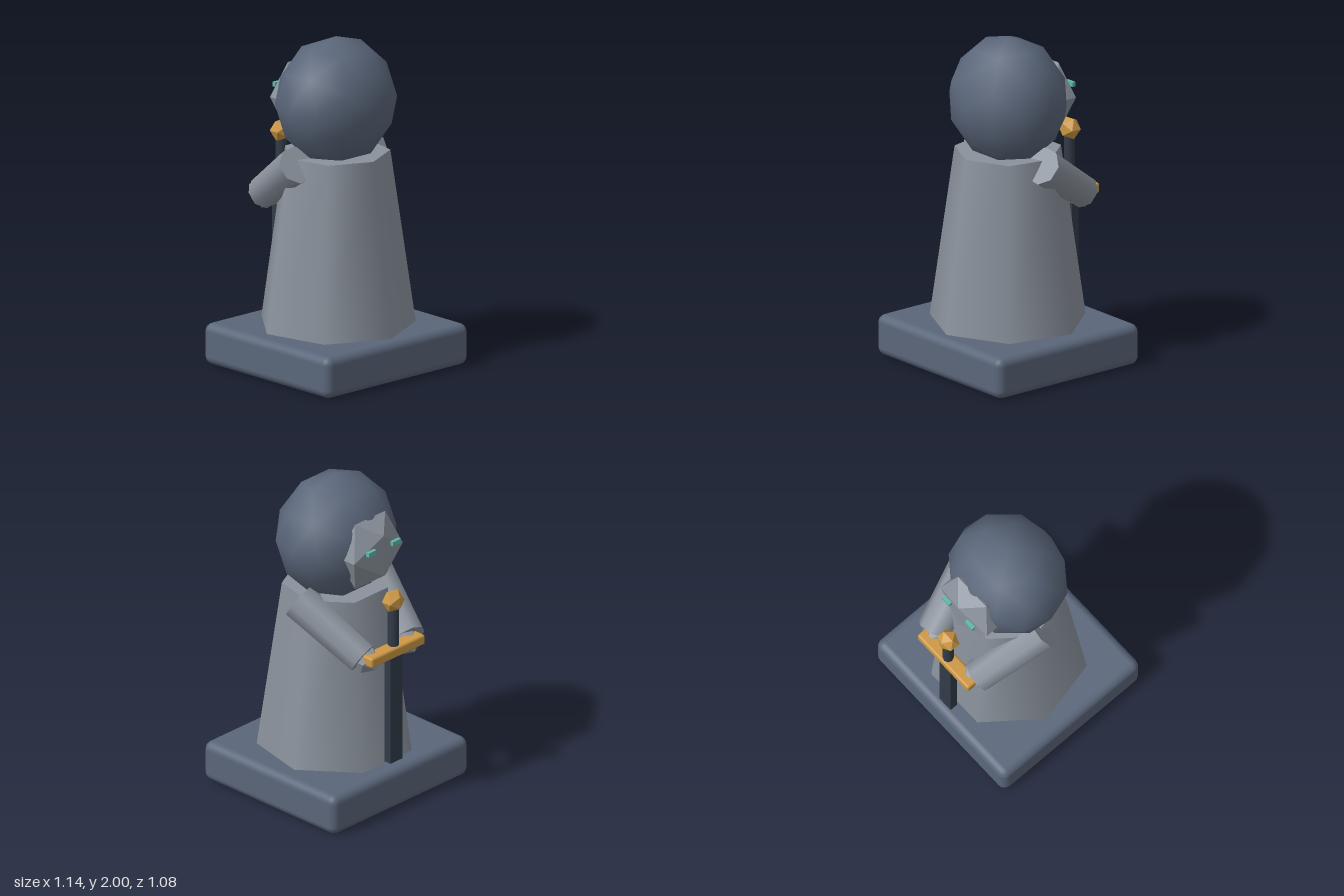
import * as THREE from 'three';
import { RoundedBoxGeometry } from 'three/addons/geometries/RoundedBoxGeometry.js';

const mat = (color, flatShading = false) => {
  const m = new THREE.MeshStandardMaterial({ flatShading });
  m.color.set(color);
  return m;
};

export function createModel() {
  const model = new THREE.Group();
  model.name = 'guardianStatue';

  const slate = mat(0x5a667a);
  const stone = mat(0x8a929c);
  const stoneFlat = mat(0x8a929c, true);
  const iron = mat(0x323c48);
  const gold = mat(0xcc9844);
  const goldFlat = mat(0xcc9844, true);
  const jade = mat(0x5fb8a6);

  const add = (name, geometry, material, x, y, z) => {
    const mesh = new THREE.Mesh(geometry, material);
    mesh.name = name;
    mesh.position.set(x, y, z);
    model.add(mesh);
    return mesh;
  };

  // Plinth
  add('plinth', new RoundedBoxGeometry(1.14, 0.25, 1.08, 3, 0.05), slate, 0, 0.125, 0);

  // Seven-sided robe, narrowing upward
  add('robe', new THREE.CylinderGeometry(0.32, 0.47, 1.06, 7), stone, 0, 0.77, 0);

  // Hood and faceted face mask
  add('hood', new THREE.IcosahedronGeometry(1, 1), slate, 0, 1.61, 0).scale.set(0.38, 0.39, 0.34);
  add('face', new THREE.IcosahedronGeometry(1, 0), stoneFlat, 0, 1.595, -0.28).scale.set(0.24, 0.25, 0.13);

  // Eyes, arms and hands, mirrored
  const up = new THREE.Vector3(0, 1, 0);
  for (const [side, s] of [['left', 1], ['right', -1]]) {
    add(side + 'Eye', new THREE.BoxGeometry(0.065, 0.028, 0.022), jade, s * 0.102, 1.65, -0.39);

    const shoulder = new THREE.Vector3(s * 0.31, 1.275, 0);
    const wrist = new THREE.Vector3(s * 0.195, 1.0, -0.41);
    const dir = shoulder.clone().sub(wrist);
    const sleeve = new THREE.CylinderGeometry(0.115, 0.1, dir.length(), 8);
    sleeve.rotateY(Math.PI / 8);
    const mid = shoulder.clone().add(wrist).multiplyScalar(0.5);
    add(side + 'Arm', sleeve, stone, mid.x, mid.y, mid.z)
      .quaternion.setFromUnitVectors(up, dir.normalize());

    add(side + 'Hand', new THREE.IcosahedronGeometry(0.09, 0), stoneFlat, s * 0.165, 0.985, -0.41);
  }

  // Sword held point down
  const z = -0.47;
  add('blade', new THREE.BoxGeometry(0.1, 0.72, 0.05), iron, 0, 0.64, z);
  add('guard', new RoundedBoxGeometry(0.45, 0.065, 0.09, 2, 0.015), gold, 0, 1.007, z);
  add('grip', new THREE.CylinderGeometry(0.033, 0.033, 0.3, 8), iron, 0, 1.17, z);
  add('pommel', new THREE.IcosahedronGeometry(1, 0), goldFlat, 0, 1.33, z).scale.set(0.074, 0.072, 0.063);

  return model;
}
